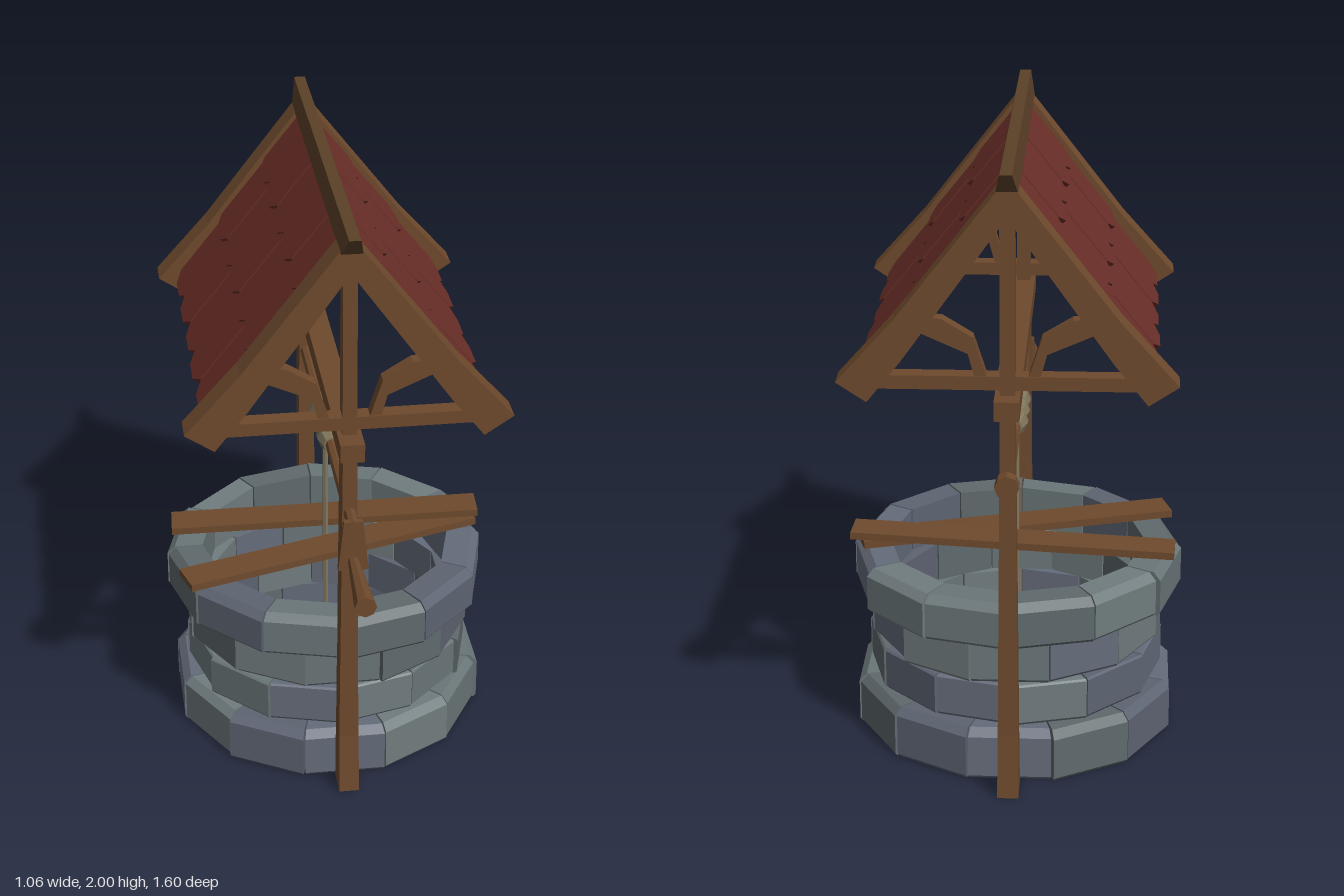
import * as THREE from 'three';

const mat = (color) => new THREE.MeshStandardMaterial({ color, flatShading: true });
const WOOD = mat(0x6e4a2d), DARK_WOOD = mat(0x5c4128), ROOF = mat(0x6b2f28), ROPE = mat(0x80765c);
const STONES = [0x6a7678, 0x656c7a, 0x5f696c, 0x707c7e, 0x5d6472].map(mat);
const WELL_Z = -0.135, GABLES = [0.415, -0.695];

function add(parent, name, geometry, material, x = 0, y = 0, z = 0) {
  const mesh = new THREE.Mesh(geometry, material);
  mesh.name = name;
  mesh.position.set(x, y, z);
  parent.add(mesh);
  return mesh;
}

// Moves every vertex of a geometry by a rule
function warp(geometry, rule) {
  const p = geometry.attributes.position, v = new THREE.Vector3();
  for (let i = 0; i < p.count; i++) {
    v.fromBufferAttribute(p, i);
    rule(v);
    p.setXYZ(i, v.x, v.y, v.z);
  }
  geometry.computeVertexNormals();
  return geometry;
}

// Extrudes an outline, centred on z = 0
function slab(points, depth) {
  const shape = new THREE.Shape(points.map(([x, y]) => new THREE.Vector2(x, y)));
  return new THREE.ExtrudeGeometry(shape, { depth, bevelEnabled: false }).translate(0, 0, -depth / 2);
}

const mirrorX = (points) => points.map(([x, y]) => [-x, y]);

// Straight stones bent round the well; the bevel slopes the outer top edge
function buildWall() {
  const wall = new THREE.Group();
  wall.name = 'stoneWall';
  wall.position.z = WELL_Z;
  const courses = [
    { y0: 0, y1: 0.17, outer: 0.522, inner: 0.41, bevel: 0.025 },
    { y0: 0.177, y1: 0.315, outer: 0.478, inner: 0.395, bevel: 0.006 },
    { y0: 0.322, y1: 0.457, outer: 0.48, inner: 0.395, bevel: 0.006 },
    { y0: 0.464, y1: 0.61, outer: 0.53, inner: 0.415, bevel: 0.025 },
  ];
  const count = 12, step = (Math.PI * 2) / count, gap = 0.012;
  courses.forEach(({ y0, y1, outer, inner, bevel }, row) => {
    for (let i = 0; i < count; i++) {
      const r = outer + (((i * 5 + row * 3) % 4) - 2) * 0.004;
      const geometry = slab([
        [inner, y0], [r - 0.008, y0], [r, y0 + 0.01], [r, y1 - bevel],
        [r - bevel, y1], [inner, y1],
      ], 1);
      const start = (i + (row % 2 ? 0 : 0.5)) * step;
      warp(geometry, (v) => {
        const a = start + (v.z + 0.5) * (step - gap) + gap / 2;
        v.set(v.x * Math.cos(a), v.y, v.x * Math.sin(a));
      });
      add(wall, 'stone', geometry, STONES[(i * 3 + row * 2 + (i >> 2)) % STONES.length]);
    }
  });
  return wall;
}

// Posts with flared feet, the long beam, and a truss at each gable
function buildFrame() {
  const frame = new THREE.Group();
  frame.name = 'timberFrame';
  const rafter = [[0, 1.975], [0.33, 1.55], [0.5, 1.36], [0.41, 1.3], [0.31, 1.425], [0, 1.86]];
  const brace = [[0.06, 1.37], [0.095, 1.37], [0.115, 1.445], [0.25, 1.505], [0.24, 1.555], [0.19, 1.55], [0.1, 1.495]];
  for (const z of GABLES) {
    const post = new THREE.BoxGeometry(0.044, 1.27, 0.08, 1, 6, 1).translate(0, 0.635, 0);
    warp(post, (v) => {
      v.x *= 1 + 0.5 * (1 - v.y / 1.27);
      v.z *= 1 + 0.38 * Math.max(0, 1 - v.y / 0.21);
    });
    add(frame, 'post', post, WOOD, 0, 0, z);
    add(frame, 'kingPost', new THREE.BoxGeometry(0.044, 0.58, 0.06), WOOD, 0, 1.6, z);
    add(frame, 'tieBeam', new THREE.BoxGeometry(0.78, 0.042, 0.055), WOOD, 0, 1.357, z);
    for (const side of [(p) => p, mirrorX]) {
      add(frame, 'rafter', slab(side(rafter), 0.092), WOOD, 0, 0, z);
      add(frame, 'curvedBrace', slab(side(brace), 0.045), WOOD, 0, 0, z);
    }
  }
  add(frame, 'longBeam', new THREE.BoxGeometry(0.075, 0.06, 1.29), WOOD, 0, 1.29, -0.135);

  // Ridge cap: narrower and longer at the top
  const ridge = new THREE.BoxGeometry(1, 0.07, 1);
  warp(ridge, (v) => {
    const top = v.y > 0;
    v.x *= top ? 0.036 : 0.066;
    v.z *= top ? 1.34 : 1.21;
  });
  add(frame, 'ridgeCap', ridge, DARK_WOOD, 0, 1.965, -0.13);
  return frame;
}

// One slope of overlapping pointed tiles, running down towards +x
function buildRoofSlope() {
  const slope = new THREE.Group();
  slope.name = 'roofSlope';
  const rows = 3, columns = 5, width = 1.01 / columns, pitch = Math.atan2(0.585, 0.43);
  const run = 0.726 / rows, overlap = 0.05, cut = 0.032;
  const surface = new THREE.Group();
  surface.name = 'tileRows';
  surface.position.set(0.01, 1.945, 0);
  surface.rotation.z = -pitch;
  slope.add(surface);
  for (let row = 0; row < rows; row++) {
    for (let col = 0; col < columns; col++) {
      const top = row ? -overlap : 0, w = width / 2, c = w * 0.5;
      const geometry = slab([
        [top, -w], [run - cut, -w], [run, -c], [run, c], [run - cut, w], [top, w],
      ], 0.026).rotateX(-Math.PI / 2);
      const lift = (col + row) % 2 ? -0.014 : -0.017;
      const tile = add(surface, 'tile', geometry, ROOF, row * run, lift, (col - (columns - 1) / 2) * width);
      tile.rotation.z = 0.04;
    }
  }
  return slope;
}

// Axle, end cap, crank, handle and the wound rope
function buildWinch() {
  const winch = new THREE.Group();
  winch.name = 'winch';
  const rod = (r0, r1, length, sides) => new THREE.CylinderGeometry(r0, r1, length, sides).rotateX(Math.PI / 2);
  add(winch, 'axle', rod(0.02, 0.02, 1.3, 8), WOOD, 0, 1.052, -0.11);
  add(winch, 'axleCap', rod(0.037, 0.037, 0.042, 8), WOOD, 0, 1.052, -0.76);
  const arm = new THREE.BoxGeometry(0.07, 0.17, 0.02);
  warp(arm, (v) => { v.x *= v.y > 0 ? 0.85 : 1.35; });
  add(winch, 'crankArm', arm, WOOD, 0, 0.983, 0.528);
  add(winch, 'crankHandle', rod(0.034, 0.017, 0.27, 8), WOOD, 0, 0.93, 0.665);

  const coil = [[0, -0.157], [0.026, -0.157], [0.041, -0.11], [0.041, -0.085], [0.033, -0.048], [0.042, -0.012]];
  const profile = [...coil, ...coil.map(([r, y]) => [r, -y]).reverse()];
  const winding = new THREE.LatheGeometry(profile.map(([r, y]) => new THREE.Vector2(r, y)), 8);
  add(winch, 'ropeCoil', winding.rotateX(Math.PI / 2), ROPE, 0, 1.052, WELL_Z);
  add(winch, 'hangingRope', new THREE.CylinderGeometry(0.01, 0.01, 1, 6), ROPE, 0, 0.54, WELL_Z);
  return winch;
}

// A board laid between the middles of its two ends
function addPlank(parent, from, to) {
  const a = new THREE.Vector3(...from), b = new THREE.Vector3(...to);
  const plank = add(parent, 'plank', new THREE.BoxGeometry(a.distanceTo(b), 0.024, 0.112), WOOD);
  plank.position.copy(a).add(b).multiplyScalar(0.5);
  plank.quaternion.setFromUnitVectors(new THREE.Vector3(1, 0, 0), b.sub(a).normalize());
}

export function createModel() {
  const model = new THREE.Group();
  model.name = 'well';
  model.add(buildWall(), buildFrame(), buildWinch());

  const roof = new THREE.Group();
  roof.name = 'roof';
  roof.position.z = -0.145;
  const left = buildRoofSlope(), right = buildRoofSlope();
  right.rotation.y = Math.PI;
  roof.add(left, right);
  model.add(roof);

  const planks = new THREE.Group();
  planks.name = 'planks';
  addPlank(planks, [-0.49, 0.624, 0.1], [0.5, 0.624, -0.2]);
  addPlank(planks, [-0.51, 0.63, -0.255], [0.525, 0.658, -0.2]);
  model.add(planks);
  return model;
}
